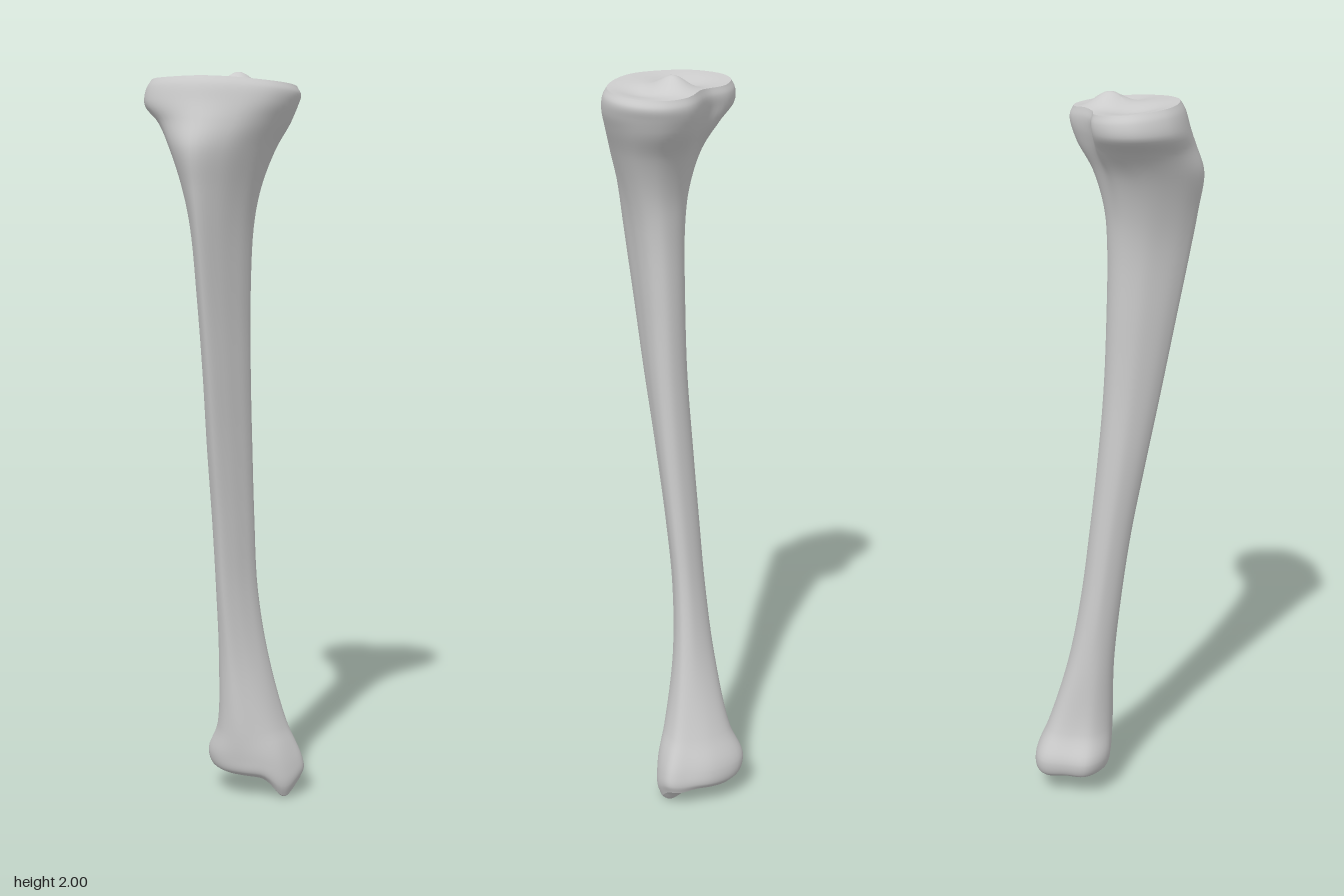
import * as THREE from 'three';

// Outlines in a -1..1 box, from the front crest round by the left side (+x) to the back
const plateau = [[-.1, 1], [.5, .82], [.83, .5], [1, 0], [.97, -.5], [.76, -.87], [.38, -1], [-.2, -.74], [-.55, -.76], [-.88, -.5], [-1, -.05], [-.78, .6]];
const shaft = [[-.3, 1], [.25, .65], [.65, .2], [.92, -.2], [1, -.6], [.75, -.9], [.2, -1], [-.35, -.92], [-.75, -.7], [-1, -.25], [-.95, .2], [-.7, .7]];
const ankle = [[-.1, 1], [.35, .88], [.75, .62], [.95, .25], [1, -.1], [.72, -.45], [.3, -.83], [-.33, -1], [-.65, -.85], [-.88, -.25], [-1, .3], [-.65, .85]];
const outlines = [plateau, shaft, ankle, ankle];

// Cross-sections from the top: y, xMin, xMax, zMin, zMax
const sizes = [
  [1.972, -.19, .197, -.095, .165],
  [1.95, -.203, .207, -.104, .178],
  [1.915, -.205, .2, -.102, .19],
  [1.87, -.16, .183, -.088, .208],
  [1.8, -.115, .148, -.05, .23],
  [1.7, -.077, .112, -.022, .217],
  [1.6, -.056, .092, -.015, .2],
  [1.4, -.045, .08, -.018, .162],
  [1.2, -.04, .077, -.026, .124],
  [1.0, -.04, .075, -.043, .084],
  [.8, -.037, .073, -.065, .046],
  [.6, -.035, .075, -.09, .018],
  [.4, -.035, .1, -.13, 0],
  [.2, -.045, .15, -.192, -.002],
  [.12, -.075, .187, -.226, -.008],
  [.08, -.066, .194, -.224, -.016],
  [.063, -.045, .185, -.208, -.034],
];
// Which outline each section follows: 0 plateau, 1 shaft, 2 ankle
const blends = [0, 0, 0, .25, .65, .9, 1, 1, 1, 1, 1, 1, 1.3, 1.75, 2, 2, 2];

const AROUND = 60, STEPS = 6;
const bump = (x, z, cx, cz, sx, sz) => Math.exp(-(((x - cx) / sx) ** 2) - ((z - cz) / sz) ** 2);

// Shape the two joint ends: dished condyles with a ridge above, hooked ankle knob below
function warp(p) {
  const { x, y, z } = p;
  const top = THREE.MathUtils.smoothstep(y, 1.88, 1.972);
  const low = 1 - THREE.MathUtils.smoothstep(y, .065, .17);
  p.y += top * (.035 * bump(x, z, .04, -.01, .045, .05) - .015 * bump(x, z, -.07, .04, .06, .07)
    - .012 * bump(x, z, .12, .03, .05, .07) + .09 * (z - .03) - .03 * x);
  p.y += low * (-.063 * bump(x, z, .15, -.085, .035, .055) + .015 * bump(x, z, .04, -.11, .06, .06)
    - .012 * bump(x, z, .04, -.2, .08, .04));
  return p;
}

// Control points of one section
function section([y, x0, x1, z0, z1], blend) {
  const i = Math.floor(blend), f = blend - i;
  return outlines[i].map(([u, v], k) => {
    const [u2, v2] = outlines[i + 1][k];
    return new THREE.Vector3(
      (x0 + x1) / 2 + (x1 - x0) / 2 * THREE.MathUtils.lerp(u, u2, f), y,
      (z0 + z1) / 2 + (z1 - z0) / 2 * THREE.MathUtils.lerp(v, v2, f));
  });
}

// Smooth rings running down the whole bone
function boneRings() {
  const rows = sizes.map((s, i) => section(s, blends[i]));
  const columns = plateau.map((_, k) => new THREE.CatmullRomCurve3(rows.map(r => r[k])));
  const count = (sizes.length - 1) * STEPS;
  return Array.from({ length: count + 1 }, (_, i) => {
    const loop = new THREE.CatmullRomCurve3(columns.map(c => c.getPoint(i / count)), true);
    return Array.from({ length: AROUND }, (_, j) => loop.getPoint(j / AROUND));
  });
}

// Rings shrinking from an end ring to its middle
function capRings(ring) {
  const centre = ring.reduce((a, p) => a.add(p), new THREE.Vector3()).divideScalar(ring.length);
  return Array.from({ length: 13 }, (_, i) => ring.map(p => p.clone().lerp(centre, i / 12)));
}

// Skin a stack of closed rings, ordered from top to bottom
function loft(name, rings, material) {
  const positions = [], index = [];
  rings.forEach((ring, i) => ring.forEach((p, j) => {
    const q = warp(p.clone());
    positions.push(q.x, q.y, q.z);
    if (i === rings.length - 1) return;
    const a = i * AROUND + j, b = i * AROUND + (j + 1) % AROUND;
    index.push(a, a + AROUND, b + AROUND, a, b + AROUND, b);
  }));
  const geometry = new THREE.BufferGeometry();
  geometry.setAttribute('position', new THREE.Float32BufferAttribute(positions, 3));
  geometry.setIndex(index);
  geometry.computeVertexNormals();
  const mesh = new THREE.Mesh(geometry, material);
  mesh.name = name;
  return mesh;
}

export function createModel() {
  const group = new THREE.Group();
  group.name = 'shinBone';
  const material = new THREE.MeshStandardMaterial({ color: 0xcccccc });
  const rings = boneRings();
  group.add(
    loft('boneShaft', rings, material),
    loft('kneeJointSurface', capRings(rings[0]).reverse(), material),
    loft('ankleJointSurface', capRings(rings[rings.length - 1]), material),
  );
  return group;
}
